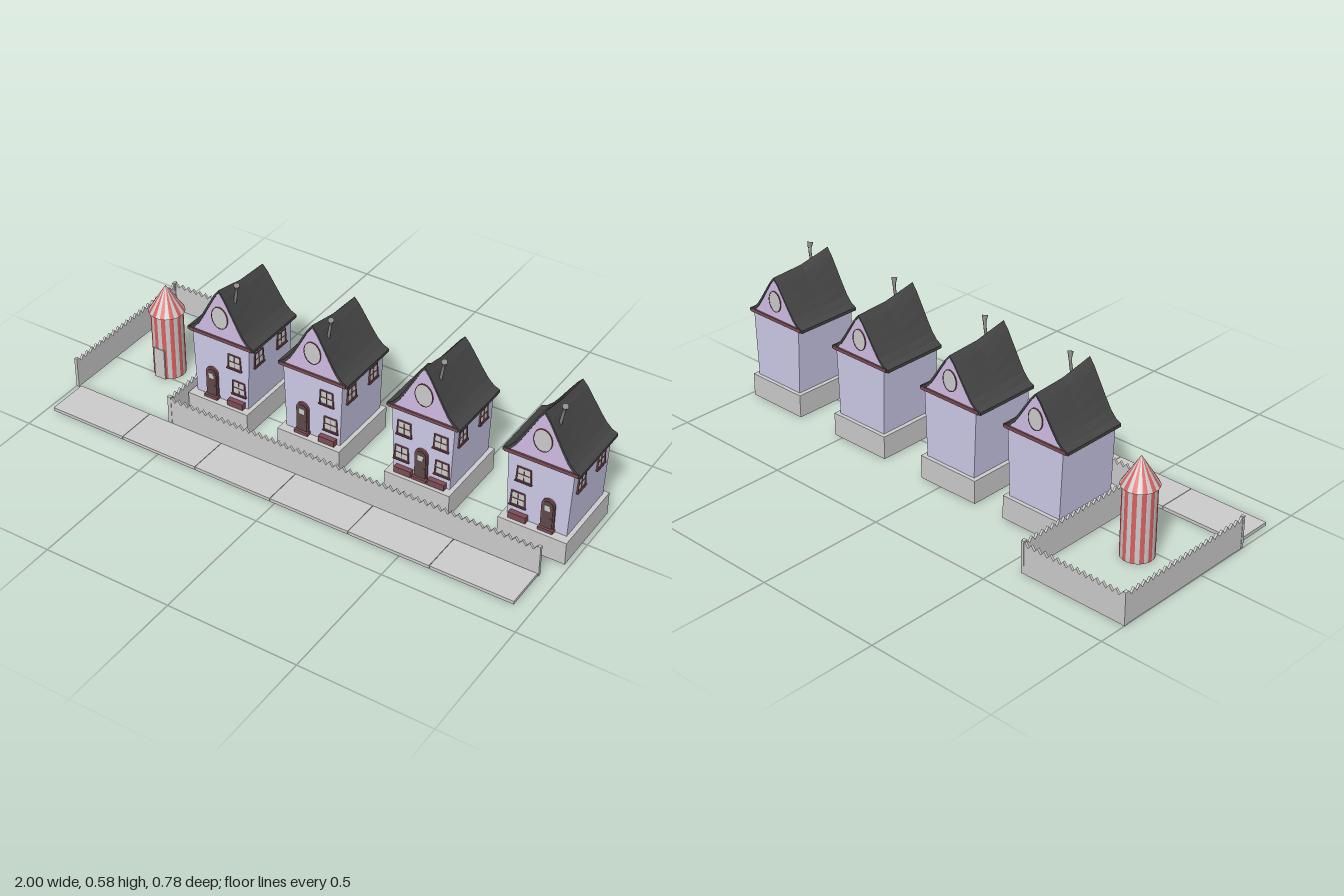
import * as THREE from 'three';

const mat = (color) => new THREE.MeshStandardMaterial({ color });
const grey = mat(0xcccccc), lavender = mat(0xccc9e8), purple = mat(0xd0bce4), slate = mat(0x444444);
const maroon = mat(0x7c4c54), brown = mat(0x5e4a48), red = mat(0xd95f5f), iron = mat(0x808080);

function add(parent, name, geometry, material, x = 0, y = 0, z = 0) {
  const mesh = new THREE.Mesh(geometry, material);
  mesh.name = name;
  mesh.position.set(x, y, z);
  parent.add(mesh);
  return mesh;
}
const box = (w, h, d) => new THREE.BoxGeometry(w, h, d);
const polygon = (pts) => new THREE.Shape(pts.map(([x, y]) => new THREE.Vector2(x, y)));
const extrude = (shape, depth, steps = 1) =>
  new THREE.ExtrudeGeometry(shape, { depth, steps, bevelEnabled: false, curveSegments: 16 });

// The ridge sinks towards the back of the house
const FRONT = 0.097, BACK = -0.172, EAVE = 0.355;
const sag = (z) => (z > -0.0375
  ? THREE.MathUtils.mapLinear(z, FRONT, -0.0375, 1, 0.865)
  : THREE.MathUtils.mapLinear(z, -0.0375, BACK, 0.865, 0.83));
function sagging(shape, inset) {
  const g = extrude(shape, FRONT - BACK - 2 * inset, 2);
  g.translate(0, 0, BACK + inset);
  const p = g.attributes.position;
  for (let i = 0; i < p.count; i++) {
    if (p.getY(i) > EAVE) p.setY(i, EAVE + (p.getY(i) - EAVE) * sag(p.getZ(i)));
  }
  g.computeVertexNormals();
  return g;
}

// Half of the bell-shaped gable, from ridge to eave
const slope = [[0, 0.56], [0.02, 0.533], [0.048, 0.483], [0.075, 0.434], [0.098, 0.396], [0.12, 0.371], [0.143, 0.358]];
const mirrored = (pts) => pts.map(([x, y]) => [-x, y]).reverse();
const drop = slope.map(([x, y]) => [x * 0.96, y - 0.011]);

// Window, slightly wider at the sill, with a two by two grid
function makeWindow() {
  const g = new THREE.Group();
  g.name = 'window';
  const frame = polygon([[-0.03, -0.03], [0.03, -0.03], [0.026, 0.03], [-0.026, 0.03]]);
  frame.holes.push(polygon([[-0.025, -0.025], [-0.022, 0.026], [0.022, 0.026], [0.025, -0.025]]));
  add(g, 'windowFrame', extrude(frame, 0.005), maroon);
  add(g, 'windowPane', box(0.048, 0.052, 0.004), grey);
  add(g, 'windowBarUpright', box(0.002, 0.052, 0.004), maroon, 0, 0, 0.002);
  add(g, 'windowBarCross', box(0.048, 0.002, 0.004), maroon, 0, 0, 0.002);
  add(g, 'windowSill', box(0.064, 0.004, 0.01), maroon, 0, -0.03, 0.003);
  return g;
}

const arch = (w, h) => {
  const s = new THREE.Shape();
  s.moveTo(-w, 0);
  s.lineTo(w, 0);
  s.lineTo(w, h - w);
  s.absarc(0, h - w, w, 0, Math.PI);
  return s;
};

function makeDoor() {
  const g = new THREE.Group();
  g.name = 'door';
  add(g, 'doorFrame', extrude(arch(0.025, 0.13), 0.008), maroon);
  add(g, 'doorLeaf', extrude(arch(0.02, 0.122), 0.011), brown);
  add(g, 'doorPane', box(0.02, 0.022, 0.003), grey, 0, 0.095, 0.011);
  add(g, 'doorKnob', new THREE.SphereGeometry(0.0025, 8, 6), iron, 0.014, 0.055, 0.012);
  add(g, 'doorStep', box(0.056, 0.012, 0.02), maroon, 0, 0.006, 0.01);
  return g;
}

function ovalWindow(parent, y, z, r) {
  const rim = new THREE.Shape().absellipse(0, 0, r, r * 1.3, 0, Math.PI * 2);
  rim.holes.push(new THREE.Path().absellipse(0, 0, r - 0.003, r * 1.3 - 0.003, 0, Math.PI * 2));
  const pane = new THREE.Shape().absellipse(0, 0, r - 0.003, r * 1.3 - 0.003, 0, Math.PI * 2);
  add(parent, 'ovalWindowRim', extrude(rim, 0.006), maroon, 0, y, z - 0.003);
  add(parent, 'ovalWindowPane', extrude(pane, 0.004), grey, 0, y, z - 0.002);
}

function makeHouse({ x, doorX, windows, benches }) {
  const house = new THREE.Group();
  house.name = 'house';
  house.position.x = x;
  add(house, 'foundation', box(0.258, 0.09, 0.314), grey, 0, 0.045, -0.028);

  // Walls lean outwards a little towards the top
  const wall = polygon([[-0.112, 0.09], [0.112, 0.09], [0.122, EAVE], [-0.122, EAVE]]);
  add(house, 'walls', extrude(wall, FRONT - BACK - 0.004), lavender, 0, 0, BACK + 0.002);
  add(house, 'gable', sagging(polygon([...mirrored(drop), ...drop.slice(1)]), 0.003), purple);
  const shell = [...mirrored(slope), ...slope.slice(1), [0.143, 0.346], ...drop.slice().reverse(),
    ...mirrored(drop).reverse().slice(1), [-0.143, 0.346]];
  add(house, 'roof', sagging(polygon(shell), 0), slate);
  for (const z of [FRONT - 0.003, BACK + 0.003]) add(house, 'gableBeam', box(0.27, 0.013, 0.012), maroon, 0, 0.353, z);
  ovalWindow(house, 0.443, FRONT - 0.002, 0.035);
  ovalWindow(house, 0.428, BACK + 0.002, 0.032);

  // Front door, front windows and the benches below them
  const door = makeDoor();
  door.position.set(doorX, 0.09, FRONT - 0.002);
  house.add(door);
  for (const [wx, wy] of windows) {
    const w = makeWindow();
    w.position.set(wx, wy, FRONT - 0.002);
    house.add(w);
  }
  for (const bx of benches) add(house, 'bench', box(0.066, 0.024, 0.02), maroon, bx, 0.102, FRONT + 0.008);

  // Two windows on the left wall
  for (const z of [0.035, -0.106]) {
    const w = makeWindow();
    w.position.set(0.119, 0.286, z);
    w.rotation.y = Math.PI / 2;
    house.add(w);
  }

  // Crooked stove pipe
  const path = new THREE.CatmullRomCurve3([[0.028, 0.455, 0.047], [0.036, 0.51, 0.047], [0.042, 0.545, 0.047], [0.047, 0.562, 0.052]]
    .map((p) => new THREE.Vector3(...p)));
  add(house, 'chimneyPipe', new THREE.TubeGeometry(path, 12, 0.0055, 10), iron);
  const cap = add(house, 'chimneyCap', new THREE.CylinderGeometry(0.011, 0.007, 0.022, 10), iron, 0.048, 0.567, 0.053);
  cap.rotation.set(0.4, 0, -0.25);
  return house;
}

// Fence panel with a saw-tooth top, running along +x from the origin
function makeFence(length) {
  const n = Math.round(length / 0.027), step = length / n;
  const pts = [[0, 0], [length, 0], [length, 0.105]];
  for (let i = n; i > 0; i--) pts.push([(i - 0.5) * step, 0.123], [(i - 1) * step, 0.105]);
  const fence = new THREE.Group();
  fence.name = 'fence';
  add(fence, 'fencePanel', extrude(polygon(pts), 0.009), grey, 0, 0, -0.0045);
  for (const x of [0.005, length - 0.005]) add(fence, 'fencePost', box(0.011, 0.125, 0.012), grey, x, 0.0625, 0);
  return fence;
}

// Round tent tower with alternating stripes
function makeTower() {
  const tower = new THREE.Group();
  tower.name = 'stripedTower';
  const n = 24, a = (Math.PI * 2) / n;
  for (let i = 0; i < n; i++) {
    const m = i % 2 ? red : grey;
    add(tower, 'wallStripe', new THREE.CylinderGeometry(0.061, 0.061, 0.275, 1, 1, true, i * a, a), m, 0, 0.1375, 0);
    add(tower, 'roofStripe', new THREE.CylinderGeometry(0, 0.068, 0.108, 1, 1, true, i * a, a), m, 0, 0.326, 0);
  }
  add(tower, 'floor', new THREE.CylinderGeometry(0.0605, 0.0605, 0.004, n), grey, 0, 0.002, 0);
  add(tower, 'eaveRing', new THREE.CylinderGeometry(0.067, 0.067, 0.003, n), grey, 0, 0.2715, 0);
  add(tower, 'towerDoor', box(0.046, 0.13, 0.012), grey, 0, 0.065, 0.056);
  return tower;
}

export function createModel() {
  const model = new THREE.Group();
  model.name = 'streetOfHouses';

  const rightSide = [[0.058, 0.275], [0.074, 0.167]];
  const leftSide = rightSide.map(([x, y]) => [-x, y]);
  const plans = [
    { x: -0.424, doorX: -0.04, windows: rightSide, benches: [0.066] },
    { x: -0.035, doorX: -0.04, windows: rightSide, benches: [0.066] },
    { x: 0.408, doorX: 0, windows: [[-0.072, 0.275], [0.072, 0.275], [-0.08, 0.167], [0.08, 0.167]], benches: [-0.066, 0.066] },
    { x: 0.853, doorX: 0.04, windows: leftSide, benches: [-0.066] },
  ];
  for (const plan of plans) model.add(makeHouse(plan));

  const tower = makeTower();
  tower.position.set(-0.77, 0, -0.045);
  model.add(tower);

  // Fences: street side, yard back, yard right and yard left
  const fences = [
    [1.505, -0.568, 0.222, 0], [0.435, -1, -0.384, 0],
    [0.61, -0.994, 0.226, Math.PI / 2], [0.61, -0.568, 0.226, Math.PI / 2],
  ];
  for (const [length, x, z, turn] of fences) {
    const fence = makeFence(length);
    fence.position.set(x, 0, z);
    fence.rotation.y = turn;
    model.add(fence);
  }

  // Pavement slabs
  const slabs = 6, w = 1.91 / slabs;
  for (let i = 0; i < slabs; i++) add(model, 'pavementSlab', box(w - 0.002, 0.013, 0.16), grey, -0.975 + (i + 0.5) * w, 0.0065, 0.31);
  return model;
}
